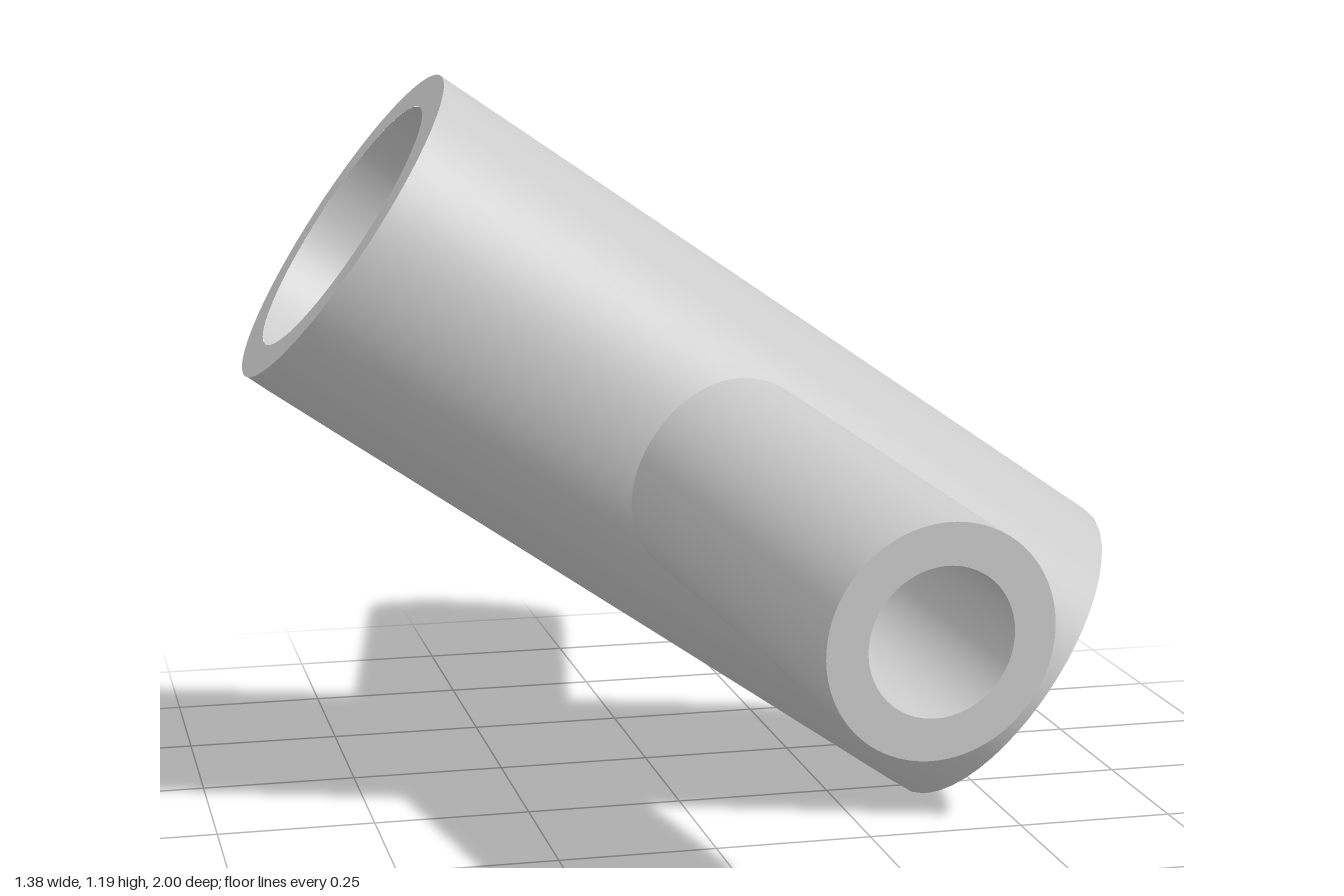
import * as THREE from 'three';

const LENGTH = 1.295, R_OUT = 0.275, R_IN = 0.217;        // main pipe
const REACH = 0.987, B_OUT = 0.166, B_IN = 0.106;         // side branches
const LEAN = 0.153, TILT = -0.603;                        // branch lean, pipe slope
const SEGMENTS = 96, RINGS = 16;

const material = new THREE.MeshStandardMaterial({ color: 0xcccccc });

// Closed loops of points joined row by row; normals decide the winding.
function loft(name, rows, pointAt, normalAt) {
  const pos = [], nor = [], index = [];
  for (let j = 0; j <= rows; j++) {
    for (let i = 0; i <= SEGMENTS; i++) {
      const phi = (i / SEGMENTS) * Math.PI * 2;
      const p = pointAt(phi, j / rows);
      pos.push(...p.toArray());
      nor.push(...normalAt(phi, p).toArray());
    }
  }
  const at = (list, k) => new THREE.Vector3().fromArray(list, k * 3);
  const addFace = (a, b, c) => {
    const face = at(pos, b).sub(at(pos, a)).cross(at(pos, c).sub(at(pos, a)));
    if (face.dot(at(nor, a)) < 0) index.push(a, c, b);
    else index.push(a, b, c);
  };
  const w = SEGMENTS + 1;
  for (let j = 0; j < rows; j++) {
    for (let i = 0; i < SEGMENTS; i++) {
      const a = j * w + i;
      addFace(a, a + 1, a + w);
      addFace(a + 1, a + w + 1, a + w);
    }
  }
  const geometry = new THREE.BufferGeometry();
  geometry.setAttribute('position', new THREE.Float32BufferAttribute(pos, 3));
  geometry.setAttribute('normal', new THREE.Float32BufferAttribute(nor, 3));
  geometry.setIndex(index);
  const mesh = new THREE.Mesh(geometry, material);
  mesh.name = name;
  return mesh;
}

// Branch frame: axis in the local xz plane, leaning towards +x.
const axis = new THREE.Vector3(Math.sin(LEAN), 0, Math.cos(LEAN));
const radial = (phi) => new THREE.Vector3(
  Math.cos(phi) * Math.cos(LEAN), Math.sin(phi), -Math.cos(phi) * Math.sin(LEAN));
const branchPoint = (phi, r, s) => radial(phi).multiplyScalar(r).addScaledVector(axis, s);

// Where a branch cylinder of radius r meets a pipe cylinder of radius R.
function junction(phi, r, R) {
  const z = Math.sqrt(R * R - (r * Math.sin(phi)) ** 2);
  return branchPoint(phi, r, (z + r * Math.cos(phi) * Math.sin(LEAN)) / Math.cos(LEAN));
}

// Half of a pipe wall, spreading from the junction hole to the half's border.
function halfWall(name, R, r, sign) {
  return loft(name, RINGS, (phi, t) => {
    const hole = junction(phi, r, R);
    const c = Math.cos(phi), s = Math.sin(phi), m = Math.max(Math.abs(c), Math.abs(s));
    const x = THREE.MathUtils.lerp(hole.x, (c / m) * LENGTH / 2, t);
    const a = THREE.MathUtils.lerp(Math.asin(hole.y / R), (s / m) * Math.PI / 2, t);
    return new THREE.Vector3(x, R * Math.sin(a), R * Math.cos(a));
  }, (phi, p) => new THREE.Vector3(0, p.y, p.z).multiplyScalar(sign / R));
}

// Straight branch wall from the pipe to the open end.
function branchWall(name, r, R, sign) {
  return loft(name, 1,
    (phi, t) => junction(phi, r, R).lerp(branchPoint(phi, r, REACH), t),
    (phi) => radial(phi).multiplyScalar(sign));
}

function halfFitting(name) {
  const half = new THREE.Group();
  half.name = name;
  half.add(
    halfWall('pipeOuterWall', R_OUT, B_OUT, 1),
    halfWall('pipeInnerWall', R_IN, B_IN, -1),
    branchWall('branchOuterWall', B_OUT, R_OUT, 1),
    branchWall('branchBore', B_IN, R_IN, -1),
    loft('branchRim', 1,
      (phi, t) => branchPoint(phi, B_IN + (B_OUT - B_IN) * t, REACH),
      () => axis.clone()));
  return half;
}

export function createModel() {
  const model = new THREE.Group();
  model.name = 'pipeFitting';

  const fitting = new THREE.Group();
  fitting.name = 'slopedFitting';
  fitting.position.y = 0.595;
  fitting.rotation.z = TILT;
  model.add(fitting);

  // Matching front and back halves, each with its branch
  const front = halfFitting('frontHalf');
  const back = halfFitting('backHalf');
  back.rotation.x = Math.PI;
  fitting.add(front, back);

  // Flat rims at both ends of the main pipe
  for (const side of [-1, 1]) {
    const rim = new THREE.Mesh(new THREE.RingGeometry(R_IN, R_OUT, SEGMENTS), material);
    rim.name = side > 0 ? 'lowerPipeRim' : 'upperPipeRim';
    rim.rotation.y = side * Math.PI / 2;
    rim.position.x = side * LENGTH / 2;
    fitting.add(rim);
  }
  return model;
}
